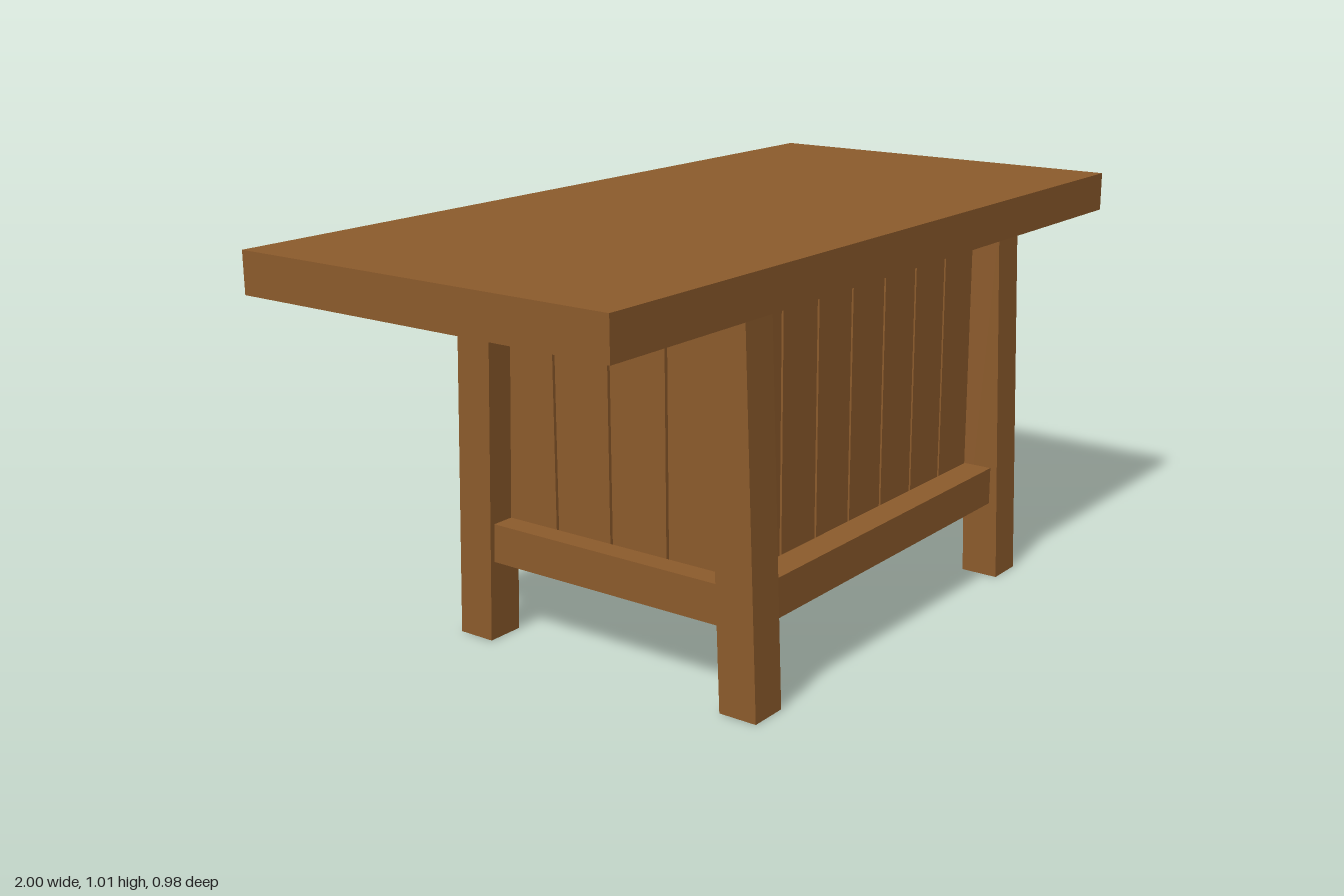
import * as THREE from 'three';

export function createModel() {
  const model = new THREE.Group();
  model.name = 'diningTable';
  const wood = new THREE.MeshStandardMaterial({ color: 0x8b5a2b });
  wood.name = 'brown wood';

  // Box given by its two extreme corners
  function board(name, [x0, y0, z0], [x1, y1, z1], parent = model) {
    const mesh = new THREE.Mesh(new THREE.BoxGeometry(x1 - x0, y1 - y0, z1 - z0), wood);
    mesh.position.set((x0 + x1) / 2, (y0 + y1) / 2, (z0 + z1) / 2);
    mesh.name = name;
    parent.add(mesh);
    return mesh;
  }

  const cx = 0.1175;     // centre of the base, offset from the top
  const topY = 0.915;    // underside of the table top
  const railLow = 0.197, railHigh = 0.292;

  board('tableTop', [-1, topY, -0.488], [1, 1.01, 0.488]);

  // Legs lean inwards towards the top, along z only
  for (const sx of [-1, 1]) {
    for (const sz of [-1, 1]) {
      const geo = new THREE.BoxGeometry(0.096, topY, 0.097);
      const p = geo.attributes.position;
      for (let i = 0; i < p.count; i++) {
        p.setZ(i, p.getZ(i) - sz * 0.032 * (p.getY(i) / topY + 0.5));
      }
      geo.computeVertexNormals();
      const leg = new THREE.Mesh(geo, wood);
      leg.position.set(cx + sx * 0.54, topY / 2, sz * 0.385);
      leg.name = (sz > 0 ? 'front' : 'back') + (sx > 0 ? 'Left' : 'Right') + 'Leg';
      model.add(leg);
    }
  }

  // Lower rails between the legs
  for (const s of [-1, 1]) {
    const z = [s * 0.33, s * 0.405].sort((a, b) => a - b);
    board(s > 0 ? 'frontRail' : 'backRail',
      [cx - 0.493, railLow, z[0]], [cx + 0.493, railHigh, z[1]]);
    const x = [cx + s * 0.517, cx + s * 0.575].sort((a, b) => a - b);
    board(s > 0 ? 'leftRail' : 'rightRail',
      [x[0], railLow, -0.331], [x[1], railHigh, 0.331]);
  }

  // Upright slats on the front
  const frontSlats = new THREE.Group();
  frontSlats.name = 'frontSlats';
  model.add(frontSlats);
  for (let i = 0; i < 7; i++) {
    const x = -0.368 + i * 0.1404;
    board('frontSlat', [x, 0.2, 0.308], [x + 0.133, topY, 0.33], frontSlats);
  }

  // Upright slats on both ends
  for (const s of [-1, 1]) {
    const slats = new THREE.Group();
    slats.name = s > 0 ? 'leftSlats' : 'rightSlats';
    model.add(slats);
    const x = [cx + s * 0.496, cx + s * 0.517].sort((a, b) => a - b);
    for (let i = 0; i < 4; i++) {
      const z = 0.3 - i * 0.1612;
      board('sideSlat', [x[0], 0.2, z - 0.154], [x[1], topY, z], slats);
    }
  }

  // Shelves, open to the back
  board('middleShelf', [cx - 0.462, 0.502, -0.31], [cx + 0.462, 0.547, 0.306]);
  board('bottomShelf', [cx - 0.462, 0.228, -0.31], [cx + 0.462, 0.272, 0.306]);

  return model;
}
